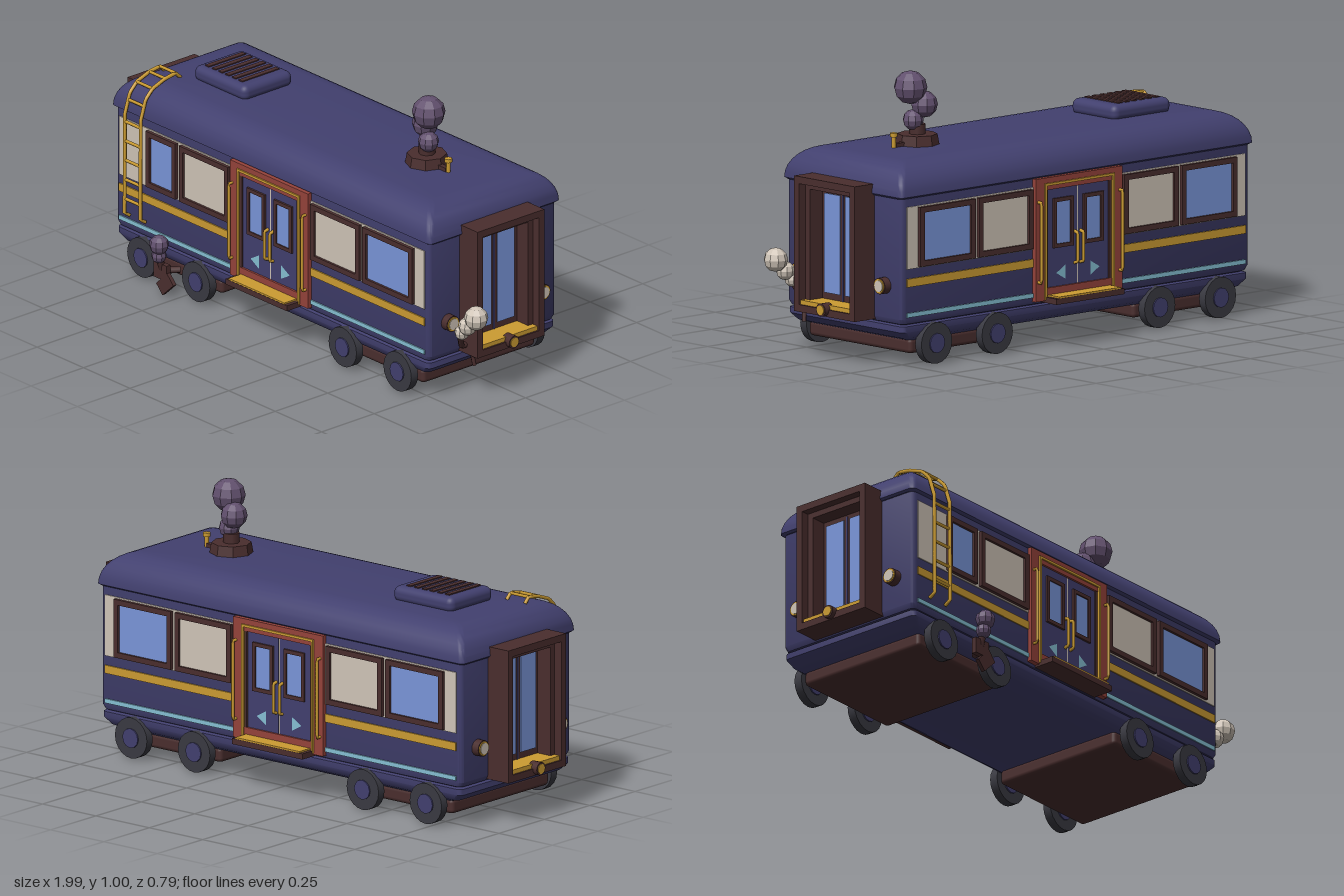
import * as THREE from 'three';
import { toCreasedNormals } from 'three/addons/utils/BufferGeometryUtils.js';
import { RoundedBoxGeometry } from 'three/addons/geometries/RoundedBoxGeometry.js';

const colours = {
  navy: 0x42406f, glass: 0x7a96da, cream: 0xd0c5b8, gold: 0xcc9c32, brown: 0x4a2e2e,
  red: 0x96433b, teal: 0x86c0d4, tyre: 0x3a3a42, smoke: 0x62506e,
};
const mats = {};
for (const [name, color] of Object.entries(colours)) {
  mats[name] = new THREE.MeshStandardMaterial({ color });
  mats[name].name = name;
}

function add(parent, name, geo, mat, x = 0, y = 0, z = 0) {
  const m = new THREE.Mesh(geo, mats[mat]);
  m.name = name;
  m.position.set(x, y, z);
  parent.add(m);
  return m;
}
// box given by its limits
function box(parent, name, mat, x0, x1, y0, y1, z0, z1) {
  return add(parent, name, new THREE.BoxGeometry(x1 - x0, y1 - y0, z1 - z0), mat,
    (x0 + x1) / 2, (y0 + y1) / 2, (z0 + z1) / 2);
}
function rect(path, x0, x1, y0, y1) {
  path.moveTo(x0, y0); path.lineTo(x1, y0); path.lineTo(x1, y1); path.lineTo(x0, y1);
  path.closePath();
  return path;
}
// rectangular frame in the xy plane, running from z to z + depth
function frame(parent, name, mat, x0, x1, y0, y1, t, z, depth) {
  const s = rect(new THREE.Shape(), x0, x1, y0, y1);
  s.holes.push(rect(new THREE.Path(), x0 + t, x1 - t, y0 + t, y1 - t));
  return add(parent, name, new THREE.ExtrudeGeometry(s, { depth, bevelEnabled: false }), mat, 0, 0, z);
}
function tube(parent, name, mat, pts, r, sides = 6) {
  const path = new THREE.CurvePath();
  const v = pts.map(p => new THREE.Vector3(...p));
  for (let i = 1; i < v.length; i++) path.add(new THREE.LineCurve3(v[i - 1], v[i]));
  return add(parent, name, new THREE.TubeGeometry(path, v.length * 6, r, sides), mat);
}
function disc(parent, name, mat, r, len, x, y, z, axis, sides = 16) {
  const g = new THREE.CylinderGeometry(r, r, len, sides);
  if (axis === 'x') g.rotateZ(-Math.PI / 2);
  if (axis === 'z') g.rotateX(Math.PI / 2);
  return add(parent, name, g, mat, x, y, z);
}
function puff(parent, name, mat, r, x, y, z) {
  const g = new THREE.SphereGeometry(r, 9, 6).toNonIndexed();
  g.computeVertexNormals();
  add(parent, name, g, mat, x, y, z);
}
// stack of rounded rectangles [halfX, halfZ, y], bottom to top, with both caps
function loft(rings, r) {
  const pos = [], loops = rings.map(([hx, hz, y]) => {
    const loop = [];
    for (let c = 0; c < 4; c++) for (let k = 0; k <= 4; k++) {
      const a = (c + k / 4) * Math.PI / 2;
      const sx = c === 0 || c === 3 ? 1 : -1, sz = c < 2 ? 1 : -1;
      loop.push([sx * (hx - r) + r * Math.cos(a), y, sz * (hz - r) + r * Math.sin(a)]);
    }
    return loop;
  });
  const n = loops[0].length, last = loops.length - 1;
  for (let i = 0; i < n; i++) {
    const j = (i + 1) % n;
    for (let k = 0; k < last; k++) {
      const a = loops[k][i], b = loops[k][j], c = loops[k + 1][j], d = loops[k + 1][i];
      pos.push(...a, ...c, ...b, ...a, ...d, ...c);
    }
    pos.push(0, rings[0][2], 0, ...loops[0][i], ...loops[0][j]);
    pos.push(0, rings[last][2], 0, ...loops[last][j], ...loops[last][i]);
  }
  const g = new THREE.BufferGeometry();
  g.setAttribute('position', new THREE.Float32BufferAttribute(pos, 3));
  return toCreasedNormals(g, 0.6);
}

function windowUnit(g, x0, x1, pane) {
  frame(g, 'windowFrame', 'brown', x0, x1, 0.365, 0.58, 0.02, 0.3, 0.02);
  box(g, 'windowPane', pane, x0 + 0.015, x1 - 0.015, 0.38, 0.565, 0.303, 0.311);
}

// one long side, facing +z
function makeSide(front) {
  const g = new THREE.Group();
  g.name = front ? 'frontSide' : 'backSide';
  for (const s of [-1, 1]) {
    const span = (name, mat, y0, y1, z) =>
      box(g, name, mat, s < 0 ? -0.822 : 0.2, s < 0 ? -0.2 : 0.822, y0, y1, 0.3, z);
    span('windowBand', 'cream', 0.36, 0.585, 0.307);
    span('goldStripe', 'gold', 0.295, 0.325, 0.308);
    span('tealStripe', 'teal', 0.185, 0.201, 0.308);
    windowUnit(g, s < 0 ? -0.485 : 0.222, s < 0 ? -0.222 : 0.485, 'cream');
    if (s > 0) windowUnit(g, 0.502, 0.77, 'glass');
    else windowUnit(g, front ? -0.665 : -0.77, front ? -0.505 : -0.502, 'glass');

    // door leaf
    box(g, 'doorLeaf', 'navy', s < 0 ? -0.15 : 0.003, s < 0 ? -0.003 : 0.15, 0.185, 0.575, 0.3, 0.312);
    const a = s * 0.073;
    frame(g, 'doorWindowFrame', 'brown', a - 0.048, a + 0.048, 0.355, 0.535, 0.014, 0.308, 0.012);
    box(g, 'doorWindowPane', 'glass', a - 0.036, a + 0.036, 0.367, 0.523, 0.308, 0.315);
    const arrow = add(g, 'doorArrow', new THREE.CircleGeometry(0.03, 3), 'teal', s * 0.075, 0.263, 0.314);
    if (s < 0) arrow.rotation.z = Math.PI;
    tube(g, 'doorHandle', 'gold', [[s * 0.014, 0.29, 0.31], [s * 0.014, 0.295, 0.328],
      [s * 0.014, 0.4, 0.328], [s * 0.014, 0.405, 0.31]], 0.006);
    tube(g, 'grabRail', 'gold', [[s * 0.197, 0.24, 0.305], [s * 0.197, 0.24, 0.337],
      [s * 0.197, 0.53, 0.337], [s * 0.197, 0.53, 0.305]], 0.006);
  }
  box(g, 'doorSeam', 'cream', -0.003, 0.003, 0.185, 0.575, 0.3, 0.311);
  frame(g, 'doorSurround', 'red', -0.21, 0.21, 0.17, 0.615, 0.045, 0.3, 0.02);
  frame(g, 'doorTrim', 'gold', -0.168, 0.168, 0.175, 0.595, 0.009, 0.3, 0.026);
  frame(g, 'doorJamb', 'brown', -0.16, 0.16, 0.18, 0.587, 0.012, 0.3, 0.018);
  box(g, 'doorStep', 'brown', -0.165, 0.165, 0.163, 0.184, 0.28, 0.38);
  box(g, 'stepTread', 'gold', -0.15, 0.15, 0.182, 0.19, 0.31, 0.379);
  // wheels
  for (const x of [-0.69, -0.395, 0.395, 0.69]) {
    disc(g, 'wheel', 'tyre', 0.075, 0.032, x, 0.08, 0.302, 'z', 20);
    disc(g, 'wheelHub', 'navy', 0.036, 0.042, x, 0.08, 0.302, 'z', 12);
  }
  if (!front) g.rotation.y = Math.PI;
  return g;
}

// one end with its gangway, built facing +z and then turned to face +x or -x
function makeEnd(dir) {
  const g = new THREE.Group();
  g.name = dir > 0 ? 'leftEnd' : 'rightEnd';
  frame(g, 'gangwayFrame', 'brown', -0.159, 0.159, 0.165, 0.655, 0.026, 0.83, 0.112);
  frame(g, 'gangwayInnerFrame', 'brown', -0.134, 0.134, 0.18, 0.632, 0.024, 0.83, 0.08);
  box(g, 'gangwayDoor', 'brown', -0.112, 0.112, 0.19, 0.61, 0.83, 0.85);
  for (const s of [-1, 1]) {
    const x = s * 0.055;
    box(g, 'gangwayPane', 'glass', x - 0.041, x + 0.041, 0.23, 0.59, 0.845, 0.854);
    disc(g, 'lampHousing', 'brown', 0.03, 0.035, s * 0.217, 0.295, 0.858, 'z');
    disc(g, 'lampRim', 'gold', 0.026, 0.006, s * 0.217, 0.295, 0.876, 'z');
    disc(g, 'lampLens', 'cream', 0.021, 0.006, s * 0.217, 0.295, 0.878, 'z');
  }
  box(g, 'gangwayDoorSeam', 'navy', -0.003, 0.003, 0.2, 0.6, 0.845, 0.853);
  box(g, 'gangwayFloor', 'gold', -0.132, 0.132, 0.19, 0.207, 0.84, 0.935);
  disc(g, 'couplerRing', 'brown', 0.024, 0.04, 0, 0.19, 0.94, 'z');
  disc(g, 'couplerFace', 'gold', 0.018, 0.004, 0, 0.19, 0.961, 'z');
  g.rotation.y = dir * Math.PI / 2;
  return g;
}

export function createModel() {
  const root = new THREE.Group();
  root.name = 'railCar';
  const car = new THREE.Group();
  car.name = 'car';
  car.position.set(-0.035, 0, -0.0125);
  root.add(car);

  // hull
  add(car, 'bodyShell', loft([[0.815, 0.28, 0.152], [0.837, 0.297, 0.16], [0.846, 0.303, 0.178],
    [0.846, 0.303, 0.63]], 0.022), 'navy');
  add(car, 'underSkirt', loft([[0.775, 0.265, 0.092], [0.815, 0.288, 0.105], [0.84, 0.302, 0.13],
    [0.84, 0.302, 0.152], [0.82, 0.28, 0.158]], 0.02), 'navy');
  const roof = [[0.85, 0.303, 0.615]];
  for (let k = 0; k <= 8; k++) {
    const a = k / 8 * Math.PI / 2, inset = 0.115 * (1 - Math.cos(a));
    roof.push([0.858 - inset, 0.314 - inset, 0.622 + 0.115 * Math.sin(a)]);
  }
  add(car, 'roof', loft(roof, 0.02), 'navy');
  for (const s of [-1, 1])
    add(car, 'bogie', new RoundedBoxGeometry(0.46, 0.055, 0.535, 2, 0.015), 'brown', s * 0.5425, 0.07, 0);
  car.add(makeSide(true), makeSide(false), makeEnd(1), makeEnd(-1));

  // roof vent
  add(car, 'roofVent', new RoundedBoxGeometry(0.28, 0.06, 0.235, 3, 0.025), 'navy', -0.5, 0.757, 0);
  for (let i = 0; i < 6; i++) {
    const x = -0.595 + i * 0.036;
    box(car, 'ventSlat', 'brown', x - 0.01, x + 0.01, 0.78, 0.791, -0.088, 0.088);
  }

  // chimney, whistle and smoke
  const base = add(car, 'chimneyBase', new THREE.CylinderGeometry(0.072, 0.08, 0.045, 8).toNonIndexed(), 'brown', 0.49, 0.752, 0);
  base.geometry.computeVertexNormals();
  disc(car, 'chimneyPipe', 'brown', 0.03, 0.05, 0.49, 0.785, 0, 'y', 8);
  box(car, 'whistleArm', 'brown', 0.55, 0.6, 0.738, 0.752, -0.01, 0.01);
  disc(car, 'whistleStem', 'gold', 0.008, 0.055, 0.605, 0.757, 0, 'y', 8);
  disc(car, 'whistleCap', 'gold', 0.014, 0.014, 0.605, 0.783, 0, 'y', 8);
  puff(car, 'smokePuff', 'smoke', 0.038, 0.505, 0.825, 0.006);
  puff(car, 'smokePuff', 'smoke', 0.049, 0.468, 0.88, -0.012);
  puff(car, 'smokePuff', 'smoke', 0.061, 0.513, 0.943, 0.012);

  // ladder curving over the roof edge
  const side = [[0.31, 0.22], [0.333, 0.235], [0.331, 0.62], [0.308, 0.695], [0.275, 0.728],
    [0.215, 0.75], [0.165, 0.757], [0.143, 0.735]];
  for (const x of [-0.762, -0.677]) tube(car, 'ladderRail', 'gold', side.map(([z, y]) => [x, y, z]), 0.007);
  const rungs = [0.29, 0.365, 0.44, 0.515, 0.59].map(y => [0.331, y]).concat([[0.315, 0.67], [0.275, 0.728], [0.215, 0.75], [0.165, 0.757]]);
  for (const [z, y] of rungs) disc(car, 'ladderRung', 'gold', 0.006, 0.085, -0.72, y, z, 'x', 6);

  // steam pipe on the left end
  tube(car, 'steamPipe', 'brown', [[0.84, 0.24, 0.125], [0.875, 0.2, 0.145], [0.88, 0.2, 0.18], [0.9, 0.25, 0.205]], 0.011);
  tube(car, 'drainPipe', 'brown', [[0.875, 0.2, 0.15], [0.9, 0.18, 0.15], [0.907, 0.125, 0.143]], 0.008);
  puff(car, 'steamPuff', 'cream', 0.027, 0.91, 0.27, 0.205);
  puff(car, 'steamPuff', 'cream', 0.034, 0.942, 0.305, 0.206);
  puff(car, 'steamPuff', 'cream', 0.044, 0.988, 0.35, 0.206);

  // exhaust below the front side
  tube(car, 'exhaustPipe', 'brown', [[-0.5, 0.09, 0.3], [-0.535, 0.09, 0.352], [-0.535, 0.135, 0.365]], 0.013);
  const flap = box(car, 'exhaustFlap', 'brown', -0.55, -0.47, 0.022, 0.072, 0.35, 0.365);
  flap.rotation.z = 0.75;
  box(car, 'exhaustBracket', 'brown', -0.57, -0.5, 0.06, 0.12, 0.345, 0.365);
  puff(car, 'exhaustPuff', 'smoke', 0.028, -0.535, 0.153, 0.37);
  puff(car, 'exhaustPuff', 'smoke', 0.036, -0.53, 0.198, 0.374);
  return root;
}
